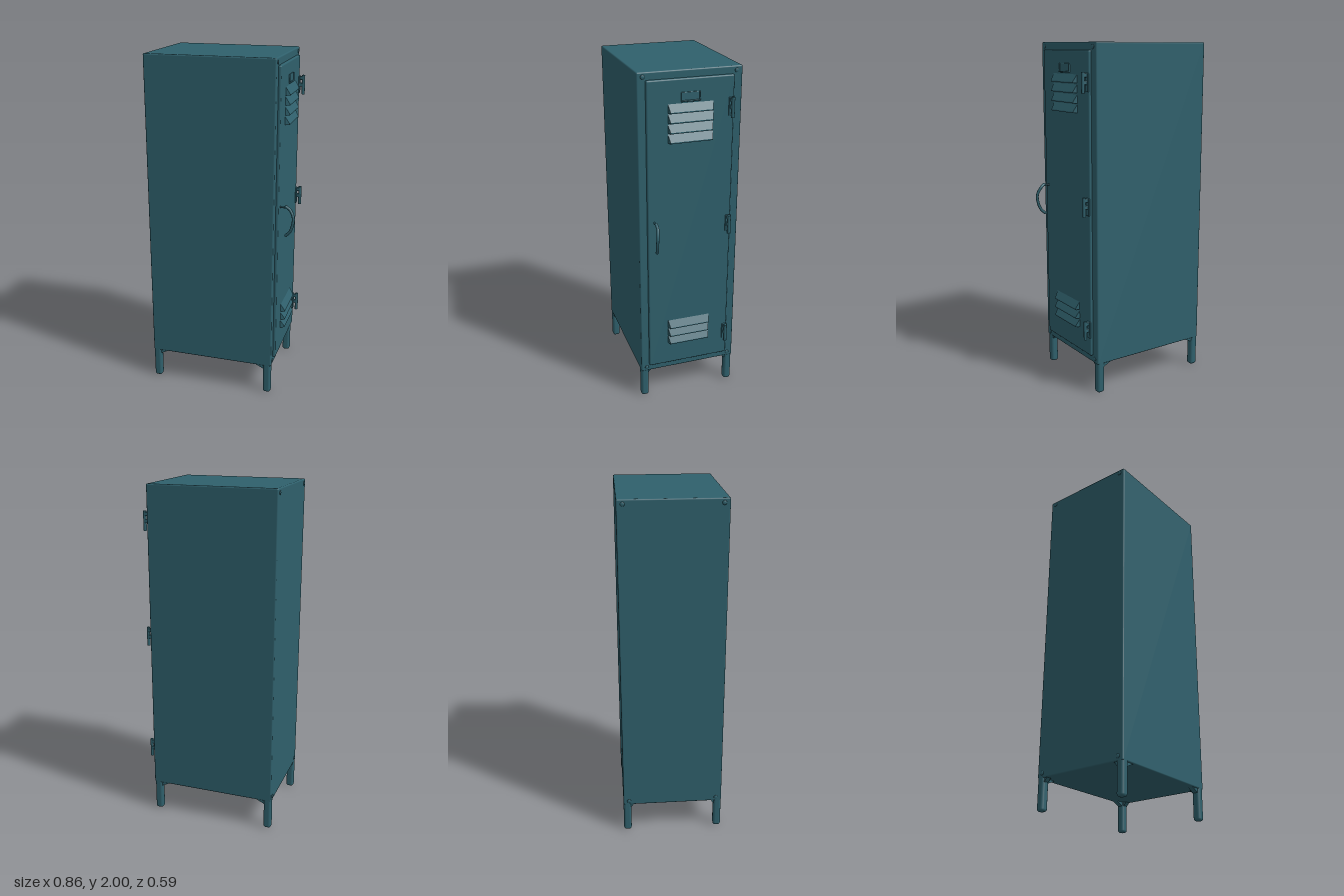
import * as THREE from 'three';
import { RoundedBoxGeometry } from 'three/addons/geometries/RoundedBoxGeometry.js';

export function createModel() {
  const group = new THREE.Group();
  const paint = new THREE.MeshStandardMaterial({ color: 0x2f606c });
  paint.name = 'teal paint';

  const add = (name, geometry, x = 0, y = 0, z = 0) => {
    const mesh = new THREE.Mesh(geometry, paint);
    mesh.name = name;
    mesh.position.set(x, y, z);
    group.add(mesh);
    return mesh;
  };
  // Rounded box given by its lower and upper limits
  const block = (name, x0, x1, y0, y1, z0, z1, r = 0.005) =>
    add(name, new RoundedBoxGeometry(x1 - x0, y1 - y0, z1 - z0, 2, r),
      (x0 + x1) / 2, (y0 + y1) / 2, (z0 + z1) / 2);
  // Profile in x and y, extruded along z and centred on it
  const prism = (points, depth) => {
    const shape = new THREE.Shape(points.map(([x, y]) => new THREE.Vector2(x, y)));
    return new THREE.ExtrudeGeometry(shape, { depth, bevelEnabled: false }).translate(0, 0, -depth / 2);
  };

  // Cabinet, with its door on the +x side
  block('cabinet', -0.425, 0.325, 0.18, 2, -0.293, 0.293, 0.008);
  block('door', 0.315, 0.341, 0.222, 1.957, -0.243, 0.246, 0.008);

  // Legs with corner gussets along both edges
  for (const sx of [-1, 1]) for (const sz of [-1, 1]) {
    const x = sx < 0 ? -0.402 : 0.299;
    const z = sz * 0.27;
    block('leg', x - 0.023, x + 0.023, 0, 0.21, z - 0.023, z + 0.023, 0.015);
    const long = add('legGusset', prism([[0, 0.155], [0.055, 0.182], [0, 0.182]], 0.03), x - sx * 0.02, 0, z);
    const short = add('legGusset', prism([[0, 0.155], [0.022, 0.182], [0, 0.182]], 0.03), x, 0, z - sz * 0.02);
    if (sx > 0) long.rotation.y = Math.PI;
    short.rotation.y = sz * Math.PI / 2;
  }

  // Corner rivets on the back and on the door frame
  for (const side of [-1, 1]) for (const y of [0.205, 1.975]) for (const z of [-0.26, 0.26]) {
    const rivet = add('rivet', new THREE.SphereGeometry(0.012, 12, 8), side < 0 ? -0.425 : 0.325, y, z);
    rivet.scale.x = 0.4;
  }

  // Louvres: sloping hoods whose outer lip is narrower than the base
  const hood = prism([[0, 0], [0.026, 0], [0.026, 0.007], [0, 0.05]], 0.256);
  const pos = hood.attributes.position;
  for (let i = 0; i < pos.count; i++) {
    if (pos.getX(i) > 0.01) pos.setZ(i, pos.getZ(i) * 0.93);
  }
  hood.computeVertexNormals();
  for (const y of [0.365, 0.418, 0.472, 1.617, 1.671, 1.726, 1.78]) add('louvre', hood, 0.339, y, 0.002);

  // Label holder: a plate with a rim along three sides
  block('labelHolder', 0.338, 0.344, 1.838, 1.885, -0.05, 0.058, 0.002);
  block('labelHolderRim', 0.338, 0.351, 1.834, 1.842, -0.05, 0.058, 0.002);
  for (const z of [-0.05, 0.052]) block('labelHolderRim', 0.338, 0.349, 1.834, 1.885, z, z + 0.006, 0.002);

  // Hinges: arm, leaf and knuckle barrel
  for (const y of [0.38, 1.105, 1.787]) {
    block('hingeLeaf', 0.338, 0.347, y - 0.05, y + 0.05, -0.243, -0.212, 0.003);
    block('hingeArm', 0.338, 0.372, y + 0.028, y + 0.05, -0.236, -0.218, 0.004);
    block('hingeArm', 0.338, 0.372, y - 0.012, y + 0.01, -0.236, -0.218, 0.004);
    add('hingeBarrel', new THREE.CylinderGeometry(0.0095, 0.0095, 0.112, 14), 0.367, y, -0.227);
  }

  // Bowed handle on a thin mounting pin
  const bow = new THREE.CatmullRomCurve3([
    [0.376, 1.17, 0.209], [0.398, 1.153, 0.207], [0.42, 1.11, 0.214],
    [0.416, 1.06, 0.214], [0.4, 1.02, 0.21], [0.378, 0.997, 0.206],
  ].map((p) => new THREE.Vector3(...p)));
  add('handle', new THREE.TubeGeometry(bow, 28, 0.0085, 10));
  for (const p of [0, 1]) add('handleEnd', new THREE.SphereGeometry(0.0085, 12, 8)).position.copy(bow.getPoint(p));
  const pin = add('handlePin', new THREE.CylinderGeometry(0.005, 0.005, 0.045, 10), 0.358, 1.165, 0.209);
  pin.rotation.z = Math.PI / 2;

  return group;
}
